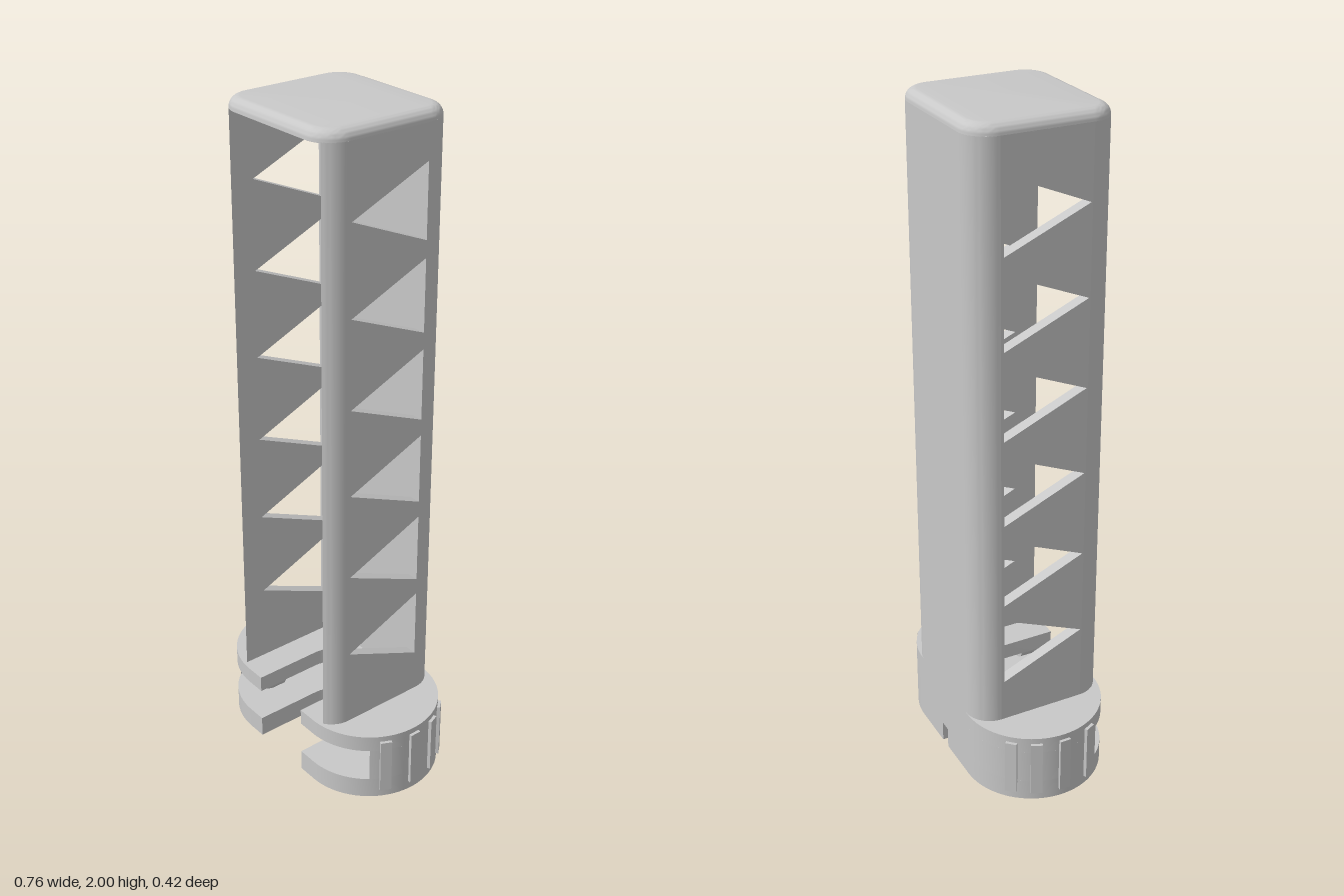
import * as THREE from 'three';
import { toCreasedNormals } from 'three/addons/utils/BufferGeometryUtils.js';

const HALF_W = 0.226, HALF_D = 0.21, CORNER = 0.079;    // tower section
const END_X = 0.16, END_R = 0.21;                       // base end arcs
const INNER = 0.191;                                    // inner wall face

// Points on an arc, as [x, s] pairs where s = -z
function arc(cx, cs, r, from, to, n = 40) {
  return Array.from({ length: n + 1 }, (_, i) => {
    const a = THREE.MathUtils.degToRad(from + (to - from) * i / n);
    return [cx + r * Math.cos(a), cs + r * Math.sin(a)];
  });
}

const mirror = (pts) => pts.map(([x, s]) => [-x, s]).reverse();
const toShape = (pts) => new THREE.Shape(pts.map(([x, s]) => new THREE.Vector2(x, s)));

// Upright slab with the given plan between two heights
function slab(pts, y0, y1) {
  const g = new THREE.ExtrudeGeometry(toShape(pts), { depth: y1 - y0, bevelEnabled: false });
  g.rotateX(-Math.PI / 2).translate(0, y0, 0);
  return toCreasedNormals(g, 0.5);
}

function roundedRect(inset) {
  const r = CORNER - inset, cx = HALF_W - CORNER, cs = HALF_D - CORNER;
  return [
    ...arc(cx, cs, r, 0, 90, 12), ...arc(-cx, cs, r, 90, 180, 12),
    ...arc(-cx, -cs, r, 180, 270, 12), ...arc(cx, -cs, r, 270, 360, 12),
  ];
}

// Cap with a rounded upper rim, built from stacked outlines
function capGeometry(y0, y1, rim) {
  const rings = [[0, y0]];
  for (let i = 0; i <= 8; i++) {
    const a = i / 8 * Math.PI / 2;
    rings.push([rim * (1 - Math.cos(a)), y1 - rim + rim * Math.sin(a)]);
  }
  const pos = [], index = [];
  const n = roundedRect(0).length;
  rings.forEach(([inset, y]) => roundedRect(inset).forEach(([x, s]) => pos.push(x, y, -s)));
  for (let k = 0; k < rings.length - 1; k++) {
    for (let i = 0; i < n; i++) {
      const j = (i + 1) % n, a = k * n + i, b = k * n + j;
      index.push(a, b, b + n, a, b + n, a + n);
    }
  }
  const last = (rings.length - 1) * n;
  for (let i = 1; i < n - 1; i++) {
    index.push(last, last + i, last + i + 1);
    index.push(0, i + 1, i);
  }
  const g = new THREE.BufferGeometry();
  g.setAttribute('position', new THREE.Float32BufferAttribute(pos, 3));
  g.setIndex(index);
  return toCreasedNormals(g, 0.6);
}

// Lengthwise round bar whose front end is cut to a flat ramp
function catchGeometry(x) {
  const r = 0.035;
  const g = new THREE.CylinderGeometry(r, r, 0.02, 32).rotateX(Math.PI / 2);
  const p = g.attributes.position;
  for (let i = 0; i < p.count; i++) {
    if (p.getZ(i) > 0) p.setZ(i, 0.01 + 2 * (Math.min(p.getY(i), 0) + r));
  }
  g.translate(x, 0.17, 0.12);
  return toCreasedNormals(g, 0.5);
}

export function createModel() {
  const model = new THREE.Group();
  const grey = new THREE.MeshStandardMaterial({ color: 0xc8c8c8 });
  grey.name = 'grey plastic';
  const add = (name, geometry, parent = model) => {
    const m = new THREE.Mesh(geometry, grey);
    m.name = name;
    parent.add(m);
    return m;
  };

  // Base: lower plate in two halves, split by a thin slit at the back
  const endArc = arc(END_X, 0, END_R, -90, 90);
  const lowerHalf = [
    [0.1, -END_R], ...endArc,
    [0.018, END_R], ...arc(0, 0, 0.1, 79.6, 0, 14),
  ];
  add('lowerPlateLeft', slab(lowerHalf, 0, 0.065));
  add('lowerPlateRight', slab(mirror(lowerHalf), 0, 0.065));

  // Base: wall around the wide slot that opens to the front
  const outerArc = arc(END_X, 0, END_R, -38.2, 90);
  const innerArc = arc(END_X, 0, 0.165, 90, 0, 16);
  add('slotWall', slab([
    ...outerArc, ...mirror(outerArc),
    ...mirror(innerArc), ...innerArc,
  ], 0.065, 0.17));

  // Base: upper plate with a round-ended notch
  add('upperPlate', slab([
    [0.1, -END_R], ...endArc, ...mirror(endArc), [-0.1, -END_R],
    ...arc(0, 0, 0.1, 180, 0),
  ], 0.17, 0.22));

  // Ramped catches below the upper plate, and grip ribs on both ends
  const ribs = new THREE.Group();
  ribs.name = 'gripRibs';
  model.add(ribs);
  for (const side of [-1, 1]) {
    add('catch', catchGeometry(side * 0.142));
    for (const deg of [-43, -23, 0, 25.5]) {
      const a = THREE.MathUtils.degToRad(deg);
      const rib = add('gripRib', new THREE.BoxGeometry(0.018, 0.175, 0.034), ribs);
      rib.position.set(side * (END_X + END_R * Math.cos(a)), 0.115, END_R * Math.sin(a));
      rib.rotation.y = -side * a;
    }
  }

  // Tower: thick back wall, rounded outside and flat inside
  const cx = HALF_W - CORNER, cs = HALF_D - CORNER;
  const y0 = 0.22, y1 = 1.97;
  const outer = arc(cx, cs, CORNER, 0, 90, 14);
  add('backWall', slab([...outer, ...mirror(outer)], y0, y1));

  // Tower: side walls with a column of triangular holes, and curved front edges
  const wall = new THREE.Shape();
  wall.moveTo(-cs, y0).lineTo(cs, y0).lineTo(cs, y1).lineTo(-cs, y1).closePath();
  for (let i = 0; i < 6; i++) {
    const y = 0.457 + i * 0.2612;
    const hole = new THREE.Path();
    hole.moveTo(0.122, y - 0.106).lineTo(-0.127, y).lineTo(0.122, y + 0.106).closePath();
    wall.holes.push(hole);
  }
  const cut = THREE.MathUtils.radToDeg(Math.acos((INNER - cx) / CORNER));
  const edge = [...arc(cx, -cs, CORNER, 0, -cut, 10), [INNER, -cs]];
  for (const side of [-1, 1]) {
    const g = new THREE.ExtrudeGeometry(wall, { depth: HALF_W - INNER, bevelEnabled: false });
    g.rotateY(Math.PI / 2).translate(side > 0 ? INNER : -HALF_W, 0, 0);
    add('sideWall', g);
    add('frontEdge', slab(side > 0 ? edge : mirror(edge), y0, y1));
  }

  // Tower: closed top
  add('cap', capGeometry(1.968, 2, 0.03));
  return model;
}
